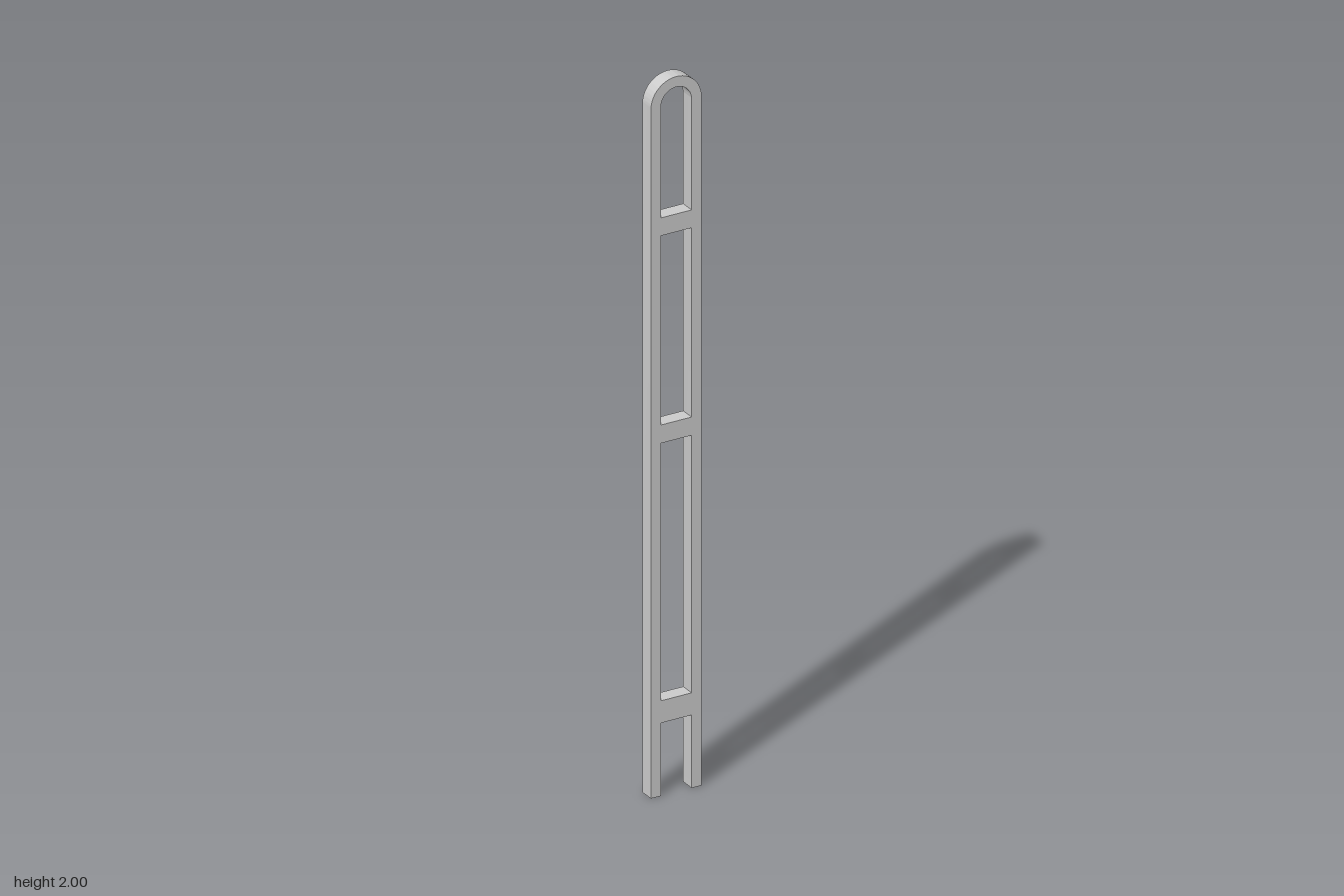
import * as THREE from 'three';
import { toCreasedNormals } from 'three/addons/utils/BufferGeometryUtils.js';

const OUTER = 0.074;   // half width of the frame, also the arch radius
const INNER = 0.045;   // half width of the opening
const DEPTH = 0.042;
const SPRING = 2 - OUTER; // height where the arch starts

export function createModel() {
  const group = new THREE.Group();
  group.name = 'ladderFrame';
  const material = new THREE.MeshStandardMaterial({ color: 0xcccccc });

  // Upright bar bent over into a round arch, open at the foot
  const outline = new THREE.Shape();
  outline.moveTo(OUTER, 0);
  outline.lineTo(OUTER, SPRING);
  outline.absarc(0, SPRING, OUTER, 0, Math.PI, false);
  outline.lineTo(-OUTER, 0);
  outline.lineTo(-INNER, 0);
  outline.lineTo(-INNER, SPRING);
  outline.absarc(0, SPRING, INNER, Math.PI, 0, true);
  outline.lineTo(INNER, 0);
  outline.closePath();

  const frameGeometry = new THREE.ExtrudeGeometry(outline, {
    depth: DEPTH, bevelEnabled: false, curveSegments: 32,
  });
  frameGeometry.translate(0, 0, -DEPTH / 2);
  const frame = new THREE.Mesh(toCreasedNormals(frameGeometry, Math.PI / 6), material);
  frame.name = 'archedFrame';
  group.add(frame);

  // Flush crossbars between the uprights: [name, bottom, top]
  const bars = [
    ['lowerCrossbar', 0.204, 0.266],
    ['middleCrossbar', 0.986, 1.037],
    ['upperCrossbar', 1.566, 1.616],
  ];
  for (const [name, bottom, top] of bars) {
    const bar = new THREE.Mesh(new THREE.BoxGeometry(INNER * 2, top - bottom, DEPTH), material);
    bar.name = name;
    bar.position.y = (bottom + top) / 2;
    group.add(bar);
  }
  return group;
}
